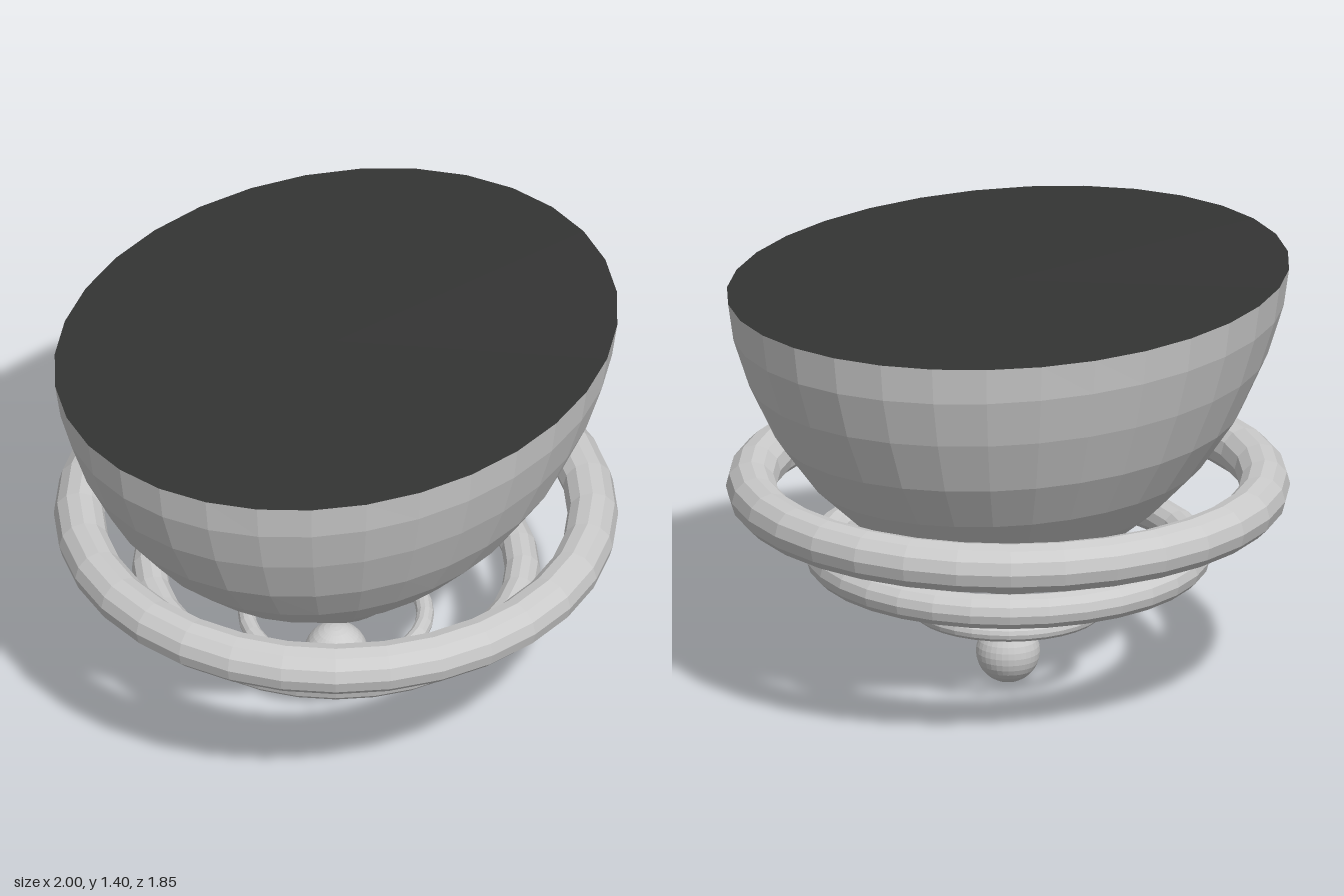
import * as THREE from 'three';

const SEGMENTS = 32;
const DEPTH = 0.84; // bowl is oval: narrower in z than in x
const RIM = 1.387;

// Bowl cross-sections from tip to rim: half width, height, half depth
const ROWS = [
  [0, 0.307, 0], [0.17, 0.358, 0.18], [0.383, 0.497, 0.326], [0.556, 0.618, 0.47],
  [0.707, 0.756, 0.596], [0.831, 0.918, 0.699], [0.924, 1.103, 0.776],
  [0.981, 1.268, 0.824], [1, RIM, DEPTH],
];

// The rim rises very slightly towards its long ends
const rimHeight = (x) => RIM + 0.01 * x * x;

export function createModel() {
  const model = new THREE.Group();
  model.name = 'ringedBowl';
  const grey = new THREE.MeshStandardMaterial({ color: 0xcccccc, flatShading: true });
  const dark = new THREE.MeshStandardMaterial({ color: 0x343534, flatShading: true });

  const add = (name, geometry, material, y = 0) => {
    const mesh = new THREE.Mesh(geometry, material);
    mesh.name = name;
    mesh.position.y = y;
    model.add(mesh);
  };

  // Bowl with a pointed underside
  const bowl = new THREE.LatheGeometry(ROWS.map(([x, y]) => new THREE.Vector2(x, y)), SEGMENTS);
  const p = bowl.attributes.position;
  for (let i = 0; i < p.count; i++) {
    const row = i % ROWS.length;
    const [width, , depth] = ROWS[row];
    if (row > 0) p.setZ(i, (p.getZ(i) * depth) / width);
    if (row === ROWS.length - 1) p.setY(i, rimHeight(p.getX(i)));
  }
  bowl.computeVertexNormals();
  add('bowl', bowl, grey);

  // Dark top closing the bowl, almost flat
  const lid = new THREE.CircleGeometry(1, SEGMENTS).rotateX(-Math.PI / 2).scale(1, 1, DEPTH);
  const q = lid.attributes.position;
  for (let i = 0; i < q.count; i++) q.setY(i, rimHeight(q.getX(i)));
  lid.computeVertexNormals();
  add('lid', lid, dark);

  // Three floating rings, shrinking downwards: name, radius, tube, height
  for (const [name, radius, tube, y] of [
    ['upperRing', 0.84, 0.083, 0.678],
    ['middleRing', 0.61, 0.058, 0.449],
    ['lowerRing', 0.292, 0.029, 0.265],
  ]) {
    add(name, new THREE.TorusGeometry(radius, tube, 12, SEGMENTS).rotateX(Math.PI / 2), grey, y);
  }

  // Ball at the bottom
  add('ball', new THREE.SphereGeometry(0.105, SEGMENTS, 16), grey, 0.105);

  return model;
}
